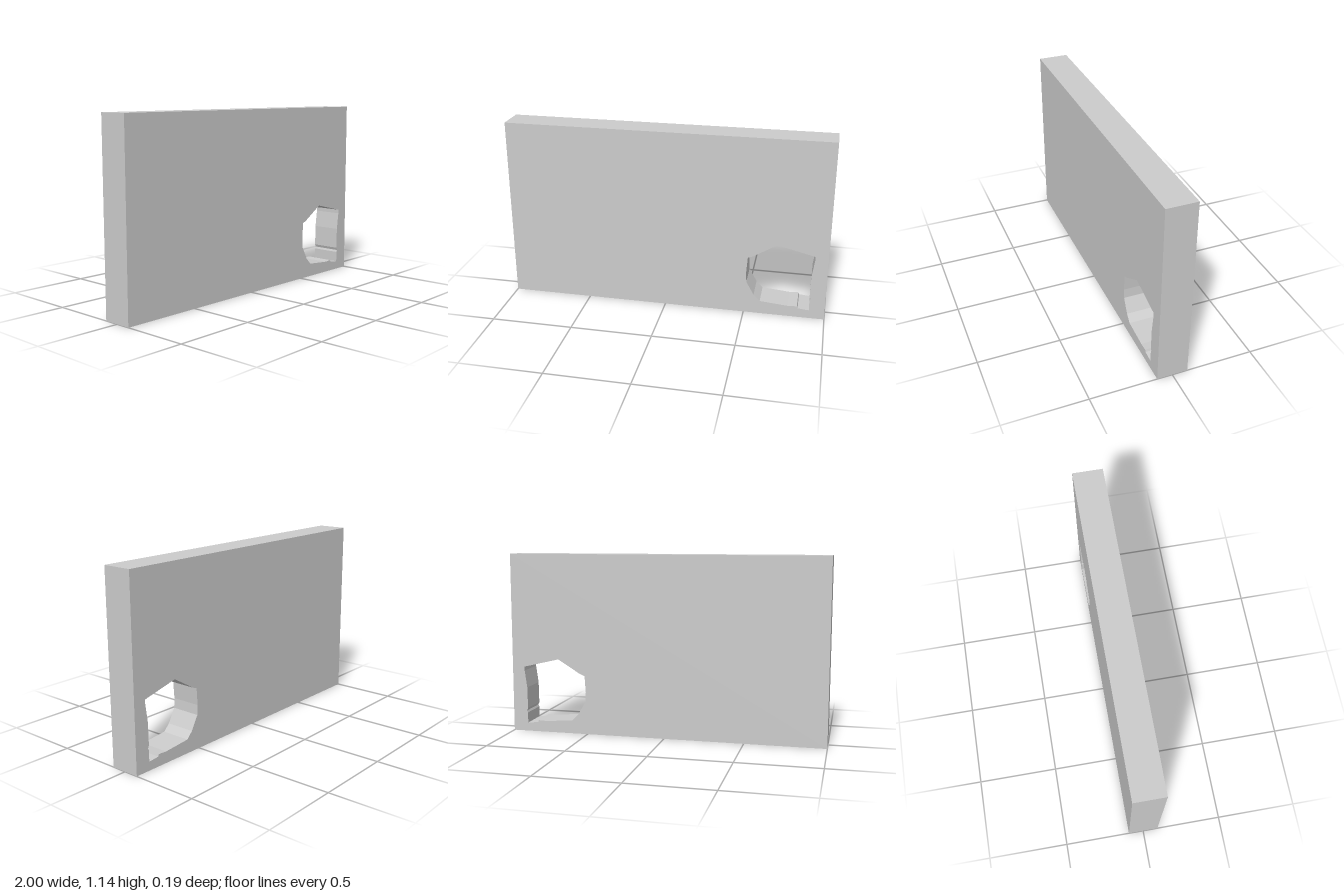
import * as THREE from 'three';

const WIDTH = 2, HEIGHT = 1.14, DEPTH = 0.187;

// Irregular opening near the lower corner, clockwise from its peak
const OPENING = [
  [0.69, 0.475], [0.92, 0.42], [0.92, 0.395], [0.905, 0.285], [0.903, 0.15],
  [0.91, 0.133], [0.904, 0.12], [0.904, 0.053], [0.835, 0.06], [0.83, 0.073],
  [0.775, 0.07], [0.6, 0.085], [0.56, 0.125], [0.512, 0.21], [0.508, 0.27],
  [0.515, 0.375], [0.545, 0.387],
];

export function createModel() {
  const group = new THREE.Group();
  group.name = 'wallPanel';

  // Slab outline with the broken opening cut through it
  const w = WIDTH / 2;
  const outline = new THREE.Shape([[-w, 0], [w, 0], [w, HEIGHT], [-w, HEIGHT]]
    .map(([x, y]) => new THREE.Vector2(x, y)));
  outline.holes.push(new THREE.Path(OPENING.map(([x, y]) => new THREE.Vector2(x, y))));

  const geometry = new THREE.ExtrudeGeometry(outline, { depth: DEPTH, bevelEnabled: false });
  geometry.translate(0, 0, -DEPTH / 2);

  const wall = new THREE.Mesh(geometry, new THREE.MeshStandardMaterial({ color: 0xcccccc }));
  wall.name = 'wall';
  group.add(wall);
  return group;
}
